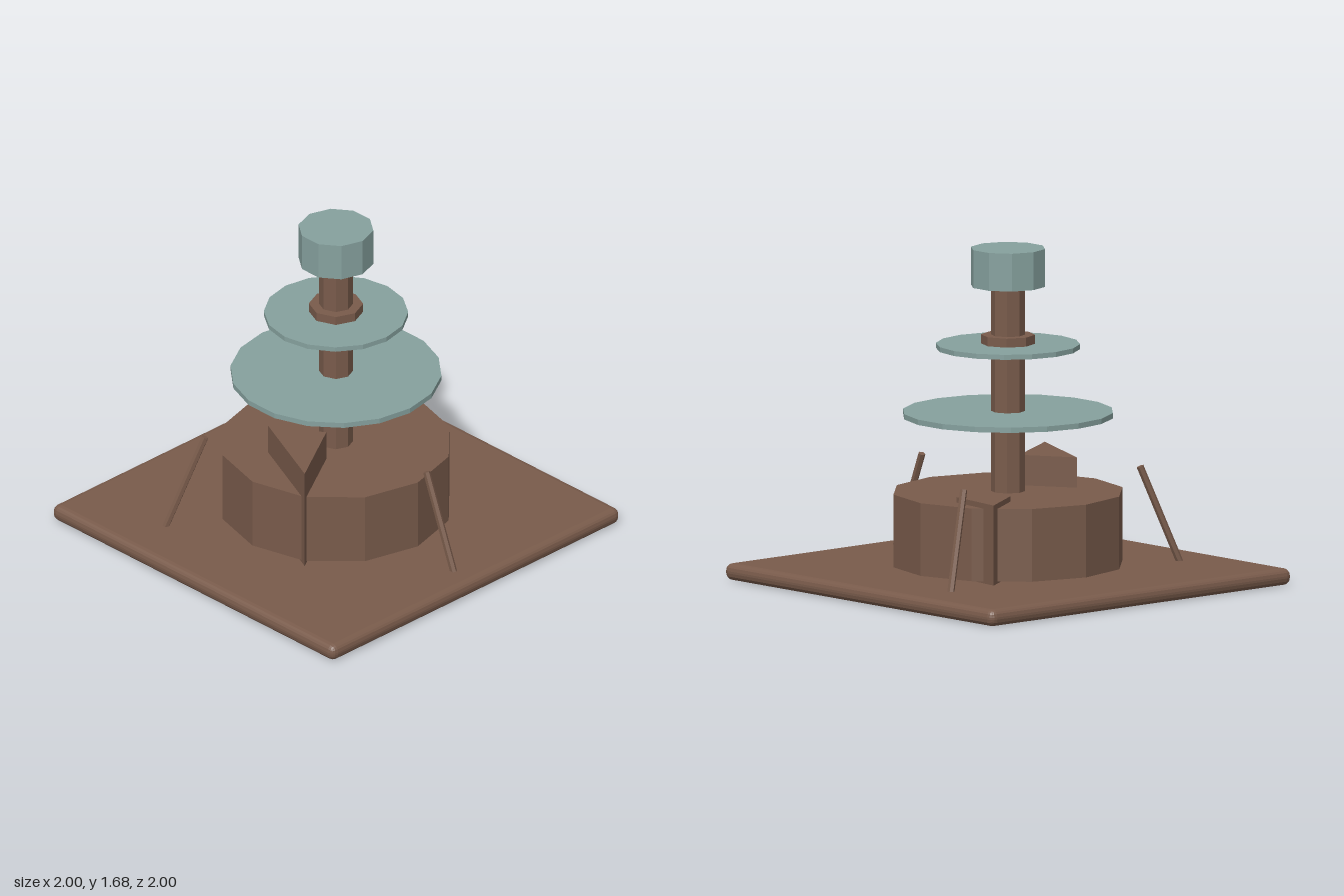
import * as THREE from 'three';
import { RoundedBoxGeometry } from 'three/addons/geometries/RoundedBoxGeometry.js';

export function createModel() {
  const model = new THREE.Group();
  const brown = new THREE.MeshStandardMaterial({ color: 0x795b4b, flatShading: true });
  brown.name = 'brown';
  const teal = new THREE.MeshStandardMaterial({ color: 0x86a19e, flatShading: true });
  teal.name = 'greyTeal';

  const add = (name, geometry, material) => {
    const mesh = new THREE.Mesh(geometry, material);
    mesh.name = name;
    model.add(mesh);
    return mesh;
  };

  // Upright faceted cylinder between two heights
  const drum = (name, radius, y0, y1, sides, material) => {
    const mesh = add(name, new THREE.CylinderGeometry(radius, radius, y1 - y0, sides), material);
    mesh.position.y = (y0 + y1) / 2;
  };

  // Upright triangular block from [x, z] corners
  const wedge = (name, corners, y0, y1) => {
    const shape = new THREE.Shape(corners.map(([x, z]) => new THREE.Vector2(x, -z)));
    const geometry = new THREE.ExtrudeGeometry(shape, { depth: y1 - y0, bevelEnabled: false });
    geometry.rotateX(-Math.PI / 2);
    add(name, geometry, brown).position.y = y0;
  };

  // Leaning rod between two points
  const rod = (name, from, to) => {
    const a = new THREE.Vector3(...from);
    const b = new THREE.Vector3(...to);
    const mesh = add(name, new THREE.CylinderGeometry(0.018, 0.018, a.distanceTo(b), 6), brown);
    mesh.position.copy(a).lerp(b, 0.5);
    mesh.quaternion.setFromUnitVectors(new THREE.Vector3(0, 1, 0), b.sub(a).normalize());
  };

  // Square base with softened edges
  add('base', new RoundedBoxGeometry(2, 0.085, 2, 2, 0.037), brown).position.y = 0.0425;

  // Central tower
  drum('lowerDrum', 0.58, 0.095, 0.46, 12, brown);
  drum('column', 0.085, 0.085, 1.5, 8, brown);
  drum('collar', 0.135, 1.19, 1.245, 8, brown);
  drum('lowerDisc', 0.525, 0.835, 0.862, 18, teal);
  drum('upperDisc', 0.358, 1.175, 1.2, 16, teal);
  drum('head', 0.188, 1.49, 1.68, 10, teal);

  // Angular blocks set into the drum
  wedge('tallBlock', [[-0.525, 0.315], [-0.16, 0.095], [-0.32, -0.155]], 0.085, 0.612);
  wedge('shortBlock', [[0.47, -0.42], [0.21, -0.255], [0.432, -0.1]], 0.085, 0.487);

  // Three rods leaning in towards the drum
  rod('rightRod', [-0.735, 0.08, -0.455], [-0.565, 0.565, -0.35]);
  rod('leftRod', [0.755, 0.08, -0.42], [0.58, 0.565, -0.32]);
  rod('frontRod', [-0.03, 0.08, 0.865], [-0.022, 0.565, 0.665]);

  return model;
}
